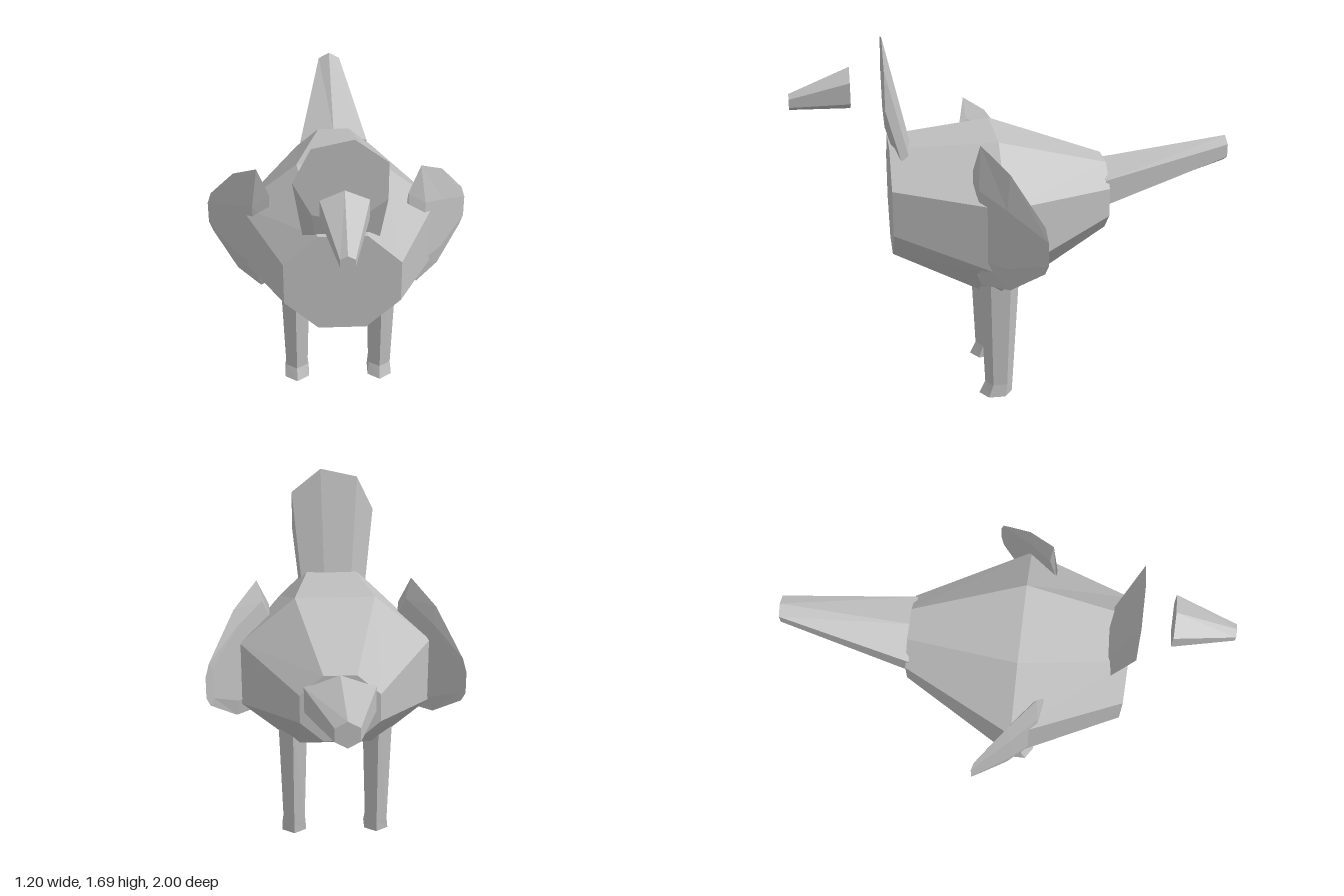
import * as THREE from 'three';

const V = (x, y, z) => new THREE.Vector3(x, y, z);

// Elliptical polygon ring; upright rings face z, flat rings face y
function ring(n, phase, [cx, cy, cz], rx, ry, flat = false) {
  return Array.from({ length: n }, (_, i) => {
    const a = phase + (i * 2 * Math.PI) / n;
    const u = rx * Math.cos(a), v = ry * Math.sin(a);
    return flat ? V(cx + u, cy, cz + v) : V(cx + u, cy + v, cz);
  });
}

// Closed, capped skin through a list of rings, always turned outward
function loft(name, rings, material) {
  const tris = [], n = rings[0].length;
  for (let r = 0; r < rings.length - 1; r++) {
    for (let i = 0; i < n; i++) {
      const j = (i + 1) % n, a = rings[r], b = rings[r + 1];
      tris.push([a[i], a[j], b[j]], [a[i], b[j], b[i]]);
    }
  }
  const first = rings[0], last = rings[rings.length - 1];
  for (let i = 1; i < n - 1; i++) {
    tris.push([first[0], first[i + 1], first[i]], [last[0], last[i], last[i + 1]]);
  }
  let volume = 0;
  for (const [a, b, c] of tris) volume += a.dot(b.clone().cross(c));
  const points = tris.flatMap(([a, b, c]) => (volume < 0 ? [a, c, b] : [a, b, c]));
  const geometry = new THREE.BufferGeometry().setFromPoints(points);
  geometry.computeVertexNormals();
  const mesh = new THREE.Mesh(geometry, material);
  mesh.name = name;
  return mesh;
}

export function createModel() {
  const model = new THREE.Group();
  model.name = 'bird';
  const grey = new THREE.MeshStandardMaterial({ color: 0xc0c0c0 });
  grey.name = 'plain grey';
  grey.flatShading = true;
  const D = Math.PI / 180;

  // Eight-sided body, widest in the middle
  model.add(loft('body', [
    ring(8, 22.5 * D, [0, 0.947, 0.57], 0.274, 0.274),
    ring(8, 22.5 * D, [0, 0.857, 0.09], 0.482, 0.409),
    ring(8, 22.5 * D, [0, 0.92, -0.42], 0.192, 0.173),
  ], grey));

  // Slanted seven-sided neck with an upright flat head face
  model.add(loft('neckAndHead', [
    ring(7, 180 * D, [0, 1.0, 0.46], 0.15, 0.15),
    ring(7, 180 * D, [0, 1.49, 0.585], 0.206, 0.21),
  ].map((r) => r.map((p) => V(p.x, p.y, p.z))), grey));

  // Beak, set ahead of the head
  model.add(loft('beak', [
    ring(6, 90 * D, [0, 1.46, 0.73], 0.115, 0.095),
    ring(6, 90 * D, [0, 1.405, 1], 0.035, 0.037),
  ], grey));

  // Tapering tail
  model.add(loft('tail', [
    ring(6, 90 * D, [0, 0.96, -0.405], 0.185, 0.12),
    ring(6, 90 * D, [0, 1.1, -1], 0.06, 0.06),
  ], grey));

  // Wing stations: inner x, z, outer x, z, bottom, top
  const stations = [
    [0.3, 0.215, 0.31, 0.222, 0.69, 1.155],
    [0.335, 0.18, 0.385, 0.203, 0.63, 1.285],
    [0.455, 0.065, 0.48, 0.09, 0.645, 1.185],
    [0.565, -0.045, 0.6, -0.07, 0.765, 0.98],
  ];

  for (const [side, s] of [['left', 1], ['right', -1]]) {
    // Thin wing: flat inside, bulging outside
    const rings = stations.map(([ix, iz, ox, oz, bottom, top]) => {
      const h = top - bottom, mx = (ix + ox) / 2, mz = (iz + oz) / 2;
      return [
        V(s * mx, top, mz),
        V(s * ox, top - 0.3 * h, oz),
        V(s * ox, bottom + 0.2 * h, oz),
        V(s * mx, bottom, mz),
        V(s * ix, bottom + 0.15 * h, iz),
        V(s * ix, top - 0.15 * h, iz),
      ];
    });
    model.add(loft(side + 'Wing', rings, grey));

    // Six-sided leg with a flared foot
    const x = s * 0.203;
    model.add(loft(side + 'Leg', [
      ring(6, 90 * D, [x, 0, 0.112], 0.067, 0.077, true),
      ring(6, 90 * D, [x, 0.06, 0.096], 0.06, 0.065, true),
      ring(6, 90 * D, [x, 0.66, 0.093], 0.08, 0.096, true),
    ], grey));
  }
  return model;
}
